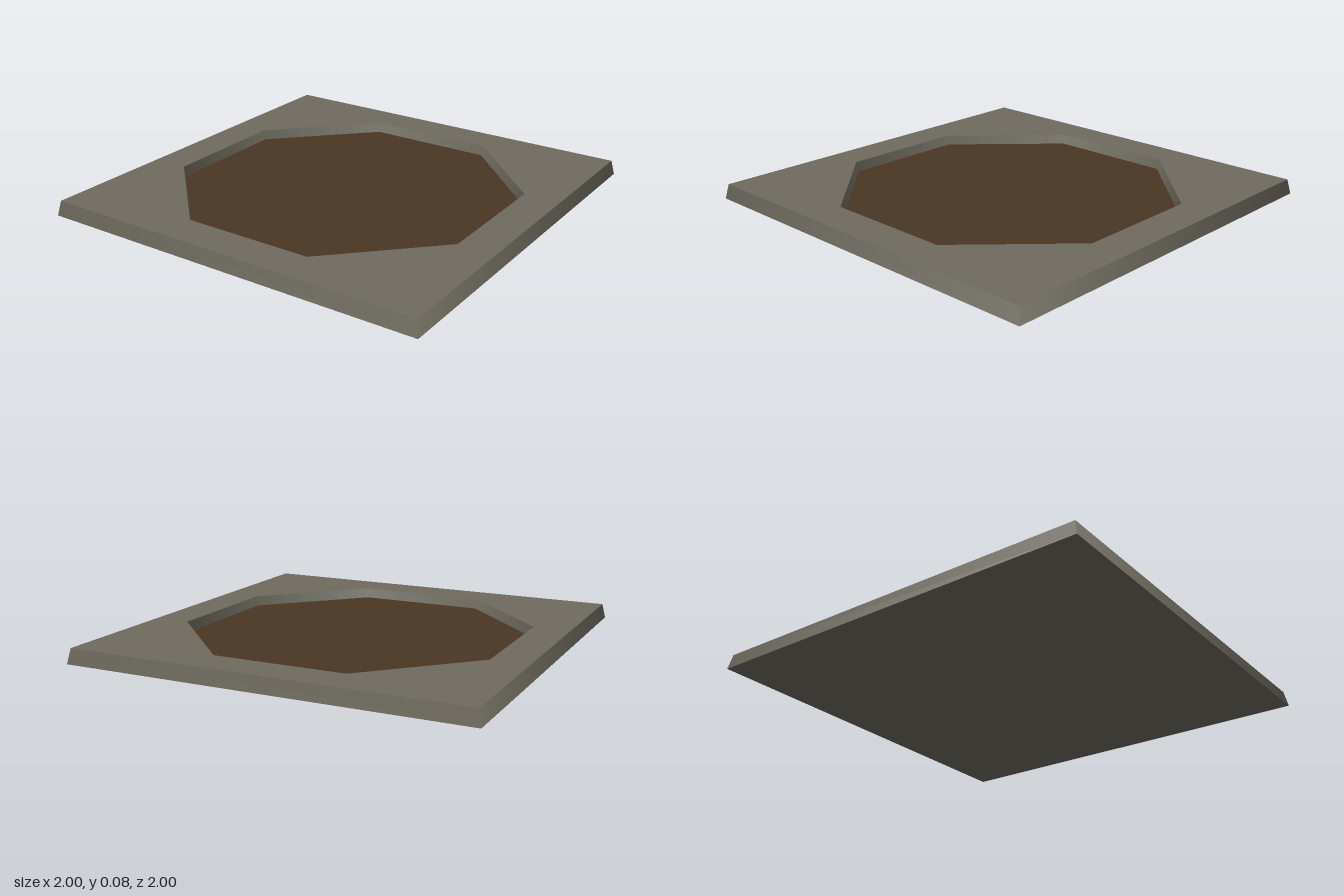
import * as THREE from 'three';

// Slab and recess dimensions: "apothem" is the centre-to-side distance
const TOP = 0.075, FLOOR = 0.025;
const SLAB_BOTTOM = 1, SLAB_TOP = 0.985;
const RIM = 0.8, PIT = 0.79;

const radius = (apothem, sides) => apothem / Math.cos(Math.PI / sides);

// Corner points of a regular polygon with flat sides along the axes
function corners(apothem, sides) {
  const r = radius(apothem, sides);
  return Array.from({ length: sides }, (_, i) => {
    const a = (2 * i + 1) * Math.PI / sides;
    return new THREE.Vector2(r * Math.cos(a), r * Math.sin(a));
  });
}

// Sloping wall; a rising profile faces outward, a falling one inward
function wall(a0, y0, a1, y1, sides) {
  return new THREE.LatheGeometry([
    new THREE.Vector2(radius(a0, sides), y0),
    new THREE.Vector2(radius(a1, sides), y1),
  ], sides, Math.PI / sides);
}

// Horizontal polygon facing up, or down when asked
function plate(shape, y, down = false) {
  return new THREE.ShapeGeometry(shape)
    .rotateX(down ? Math.PI / 2 : -Math.PI / 2)
    .translate(0, y, 0);
}

export function createModel() {
  const group = new THREE.Group();
  group.name = 'recessedSlab';

  const stone = new THREE.MeshStandardMaterial({ color: 0x6f6b5f });
  stone.name = 'stone';
  const earth = new THREE.MeshStandardMaterial({ color: 0x4a3724 });
  earth.name = 'earth';

  const add = (name, geometry, material) => {
    const mesh = new THREE.Mesh(geometry, material);
    mesh.name = name;
    group.add(mesh);
  };

  // Square stone surround with an octagonal opening
  const topShape = new THREE.Shape(corners(SLAB_TOP, 4));
  topShape.holes.push(new THREE.Path(corners(RIM, 8)));
  add('slabTop', plate(topShape, TOP), stone);
  add('slabSides', wall(SLAB_BOTTOM, 0, SLAB_TOP, TOP, 4), stone);
  add('slabUnderside', plate(new THREE.Shape(corners(SLAB_BOTTOM, 4)), 0, true), stone);

  // Recess walls and earth floor
  add('recessWalls', wall(RIM, TOP, PIT, FLOOR, 8), stone);
  add('earthFloor', plate(new THREE.Shape(corners(PIT, 8)), FLOOR), earth);

  return group;
}
